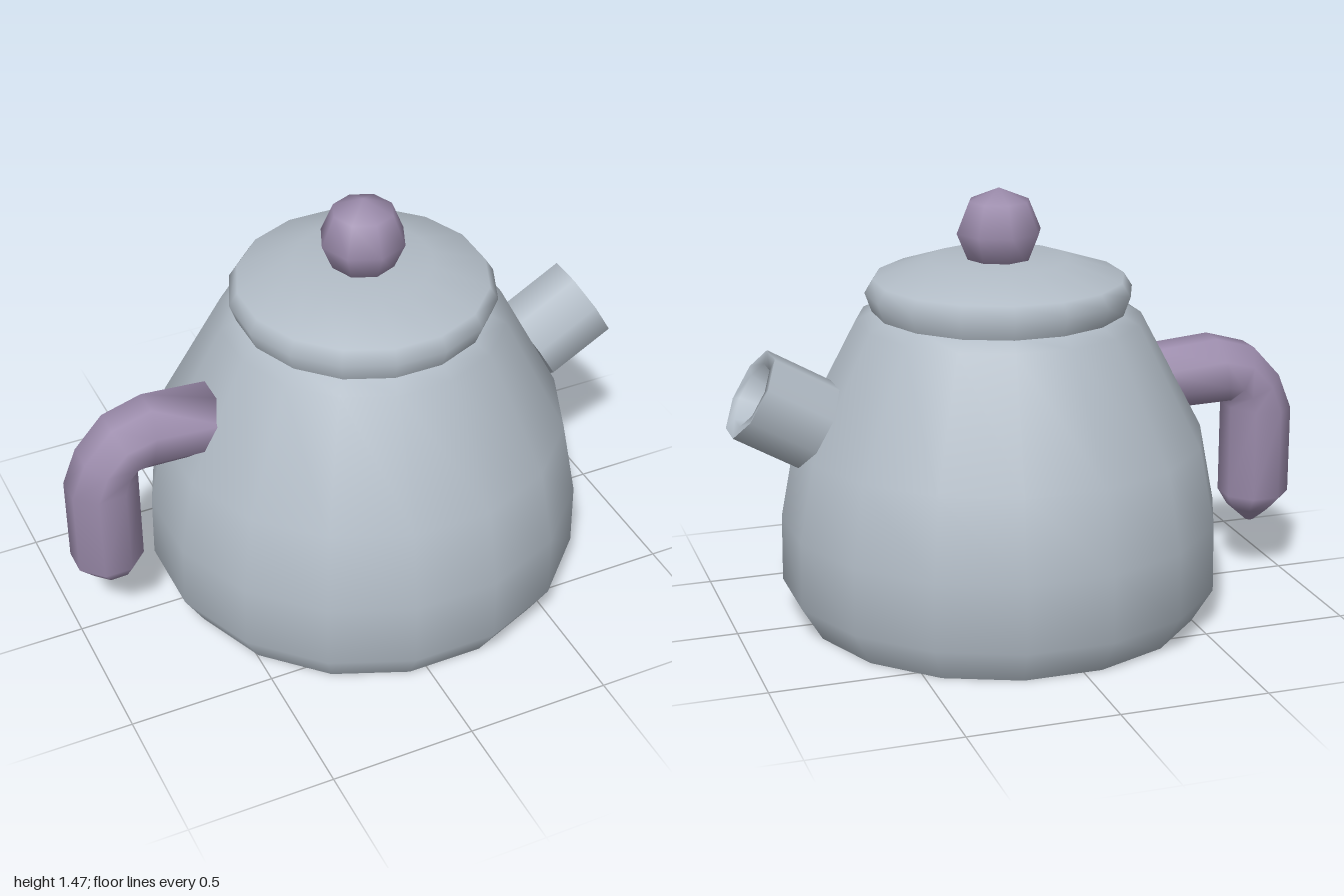
import * as THREE from 'three';

const pot = new THREE.MeshStandardMaterial({ color: 0xb2bcc6 });
pot.name = 'pale blue grey';
const grip = new THREE.MeshStandardMaterial({ color: 0x9c8cac });
grip.name = 'dusty purple';

const CX = 0.07; // axis of the pot

function add(parent, name, geometry, material, x = 0, y = 0) {
  const mesh = new THREE.Mesh(geometry, material);
  mesh.name = name;
  mesh.position.set(x, y, 0);
  parent.add(mesh);
  return mesh;
}

// Lathe whose flat sides face the axes; radii are measured to the flats
function flatLathe(profile, sides) {
  const k = 1 / Math.cos(Math.PI / sides);
  const points = profile.map(([r, y]) => new THREE.Vector2(r * k, y));
  return new THREE.LatheGeometry(points, sides, Math.PI / sides);
}

// Bent tube from octagonal rings: [outerX, outerY, innerX, innerY, halfDepth]
function ringTube(rings, sides) {
  const position = [], index = [];
  const k = 1 / Math.cos(Math.PI / sides);
  for (const [ox, oy, ix, iy, w] of rings) {
    for (let j = 0; j < sides; j++) {
      const a = ((j + 0.5) / sides) * Math.PI * 2;
      const c = Math.cos(a) * k * 0.5;
      position.push((ox + ix) / 2 + (ox - ix) * c, (oy + iy) / 2 + (oy - iy) * c, Math.sin(a) * k * w);
    }
  }
  for (let i = 0; i < rings.length - 1; i++) {
    for (let j = 0; j < sides; j++) {
      const n = (j + 1) % sides;
      const a = i * sides + j, b = i * sides + n;
      index.push(a, b, b + sides, a, b + sides, a + sides);
    }
  }
  // End caps
  const last = (rings.length - 1) * sides;
  for (let j = 1; j < sides - 1; j++) {
    index.push(0, j + 1, j, last, last + j, last + j + 1);
  }
  const g = new THREE.BufferGeometry();
  g.setAttribute('position', new THREE.Float32BufferAttribute(position, 3));
  g.setIndex(index);
  g.computeVertexNormals();
  return g;
}

export function createModel() {
  const group = new THREE.Group();
  group.name = 'teapot';

  // Body and its flat base
  add(group, 'base', flatLathe([[0, 0], [0.667, 0]], 16), pot, CX);
  add(group, 'body', flatLathe([
    [0.667, 0], [0.738, 0.12], [0.735, 0.35], [0.685, 0.62], [0.475, 1.03], [0.41, 1.065],
  ], 16), pot, CX);

  // Lid with an overhanging rim
  add(group, 'lid', flatLathe([
    [0.42, 1.06], [0.443, 1.125], [0.415, 1.17], [0.23, 1.232], [0, 1.234],
  ], 16), pot, CX);
  add(group, 'knob', new THREE.SphereGeometry(0.147, 8, 4), grip, CX, 1.323);

  // Short spout, tilted up, with a hollow tip
  const spout = new THREE.Group();
  spout.name = 'spout';
  spout.position.set(0.713, 0.713, 0);
  spout.rotation.z = -Math.PI / 3;
  group.add(spout);
  add(spout, 'spoutBase', flatLathe([[0, 0], [0.147, 0]], 8), pot);
  add(spout, 'spoutWall', flatLathe([[0.147, 0], [0.147, 0.247]], 8), pot);
  add(spout, 'spoutMouth', flatLathe([[0.147, 0.247], [0.105, 0.24], [0.07, 0.15], [0, 0.14]], 8), pot);

  // Hooked handle, from the hanging tip up to the body
  add(group, 'handle', ringTube([
    [-0.89, 0.2, -0.86, 0.2, 0.015],
    [-0.945, 0.25, -0.8, 0.255, 0.075],
    [-1.0, 0.31, -0.77, 0.31, 0.115],
    [-1.0, 0.62, -0.77, 0.64, 0.115],
    [-0.95, 0.745, -0.77, 0.665, 0.117],
    [-0.85, 0.855, -0.765, 0.668, 0.118],
    [-0.71, 0.895, -0.745, 0.668, 0.12],
    [-0.48, 0.875, -0.48, 0.662, 0.125],
  ], 8), grip);

  return group;
}
